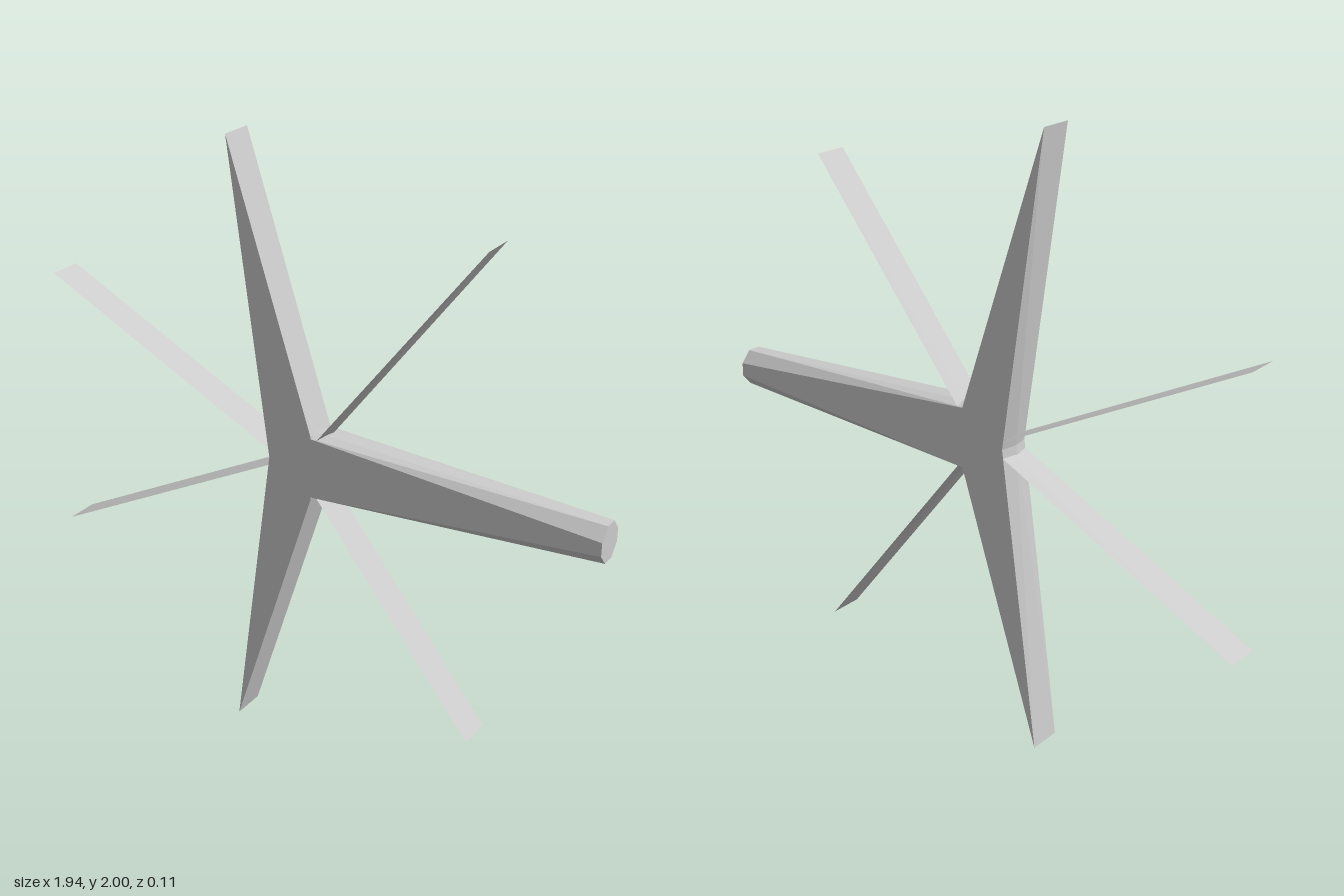
import * as THREE from 'three';
import { ConvexGeometry } from 'three/addons/geometries/ConvexGeometry.js';

const D = 0.056; // half depth of every blade
const MID = 1;   // height of the hub

export function createModel() {
  const model = new THREE.Group();
  model.name = 'starBlade';
  const material = new THREE.MeshStandardMaterial({ color: 0xcccccc, flatShading: true, side: THREE.DoubleSide });

  // convex faceted solid from [x, y above the hub, z] points
  const solid = (name, points) => {
    const geometry = new ConvexGeometry(points.map(([x, y, z]) => new THREE.Vector3(x, MID + y, z)));
    const mesh = new THREE.Mesh(geometry, material);
    mesh.name = name;
    model.add(mesh);
  };
  const pair = (x, y) => [[x, y, D], [x, y, -D]];

  // tall blades: sharp tip edge, wide root, shallow ridge down the outer side
  for (const s of [1, -1]) {
    solid(s > 0 ? 'upperBlade' : 'lowerBlade', [
      ...pair(-0.28, s), ...pair(-0.142, 0), [-0.153, 0, 0],
      ...pair(0.01, s * 0.105), ...pair(0.01, 0),
    ]);
  }

  // eight-sided tapering shaft
  const section = (x, flat, top) => [1, -1].flatMap(sy => [1, -1].flatMap(sz =>
    [[x, sy * flat, sz * D], [x, sy * top, sz * 0.022]]));
  solid('shaft', [...section(-0.13, 0.107, 0.111), ...section(0, 0.1, 0.11), ...section(0.97, 0.022, 0.06)]);

  // thin spikes: wedge from a slim creased root to a straight tip edge
  const spikes = [
    ['upperInnerSpike', [0.02, 0.085], [0.58, 0.8], 0.012],
    ['lowerInnerSpike', [0.02, -0.085], [0.58, -0.8], 0.004],
    ['upperOuterSpike', [-0.13, 0.02], [-0.97, 0.445], 0.004],
    ['lowerOuterSpike', [-0.13, -0.02], [-0.97, -0.445], 0.004],
  ];
  for (const [name, [rx, ry], [tx, ty], thick] of spikes) {
    const length = Math.hypot(tx - rx, ty - ry);
    const nx = (ty - ry) / length * thick, ny = -(tx - rx) / length * thick;
    solid(name, [...pair(rx, ry), ...pair(tx, ty), [rx + nx, ry + ny, -0.012], [rx - nx * 0.2, ry - ny * 0.2, -0.012]]);
  }
  return model;
}
